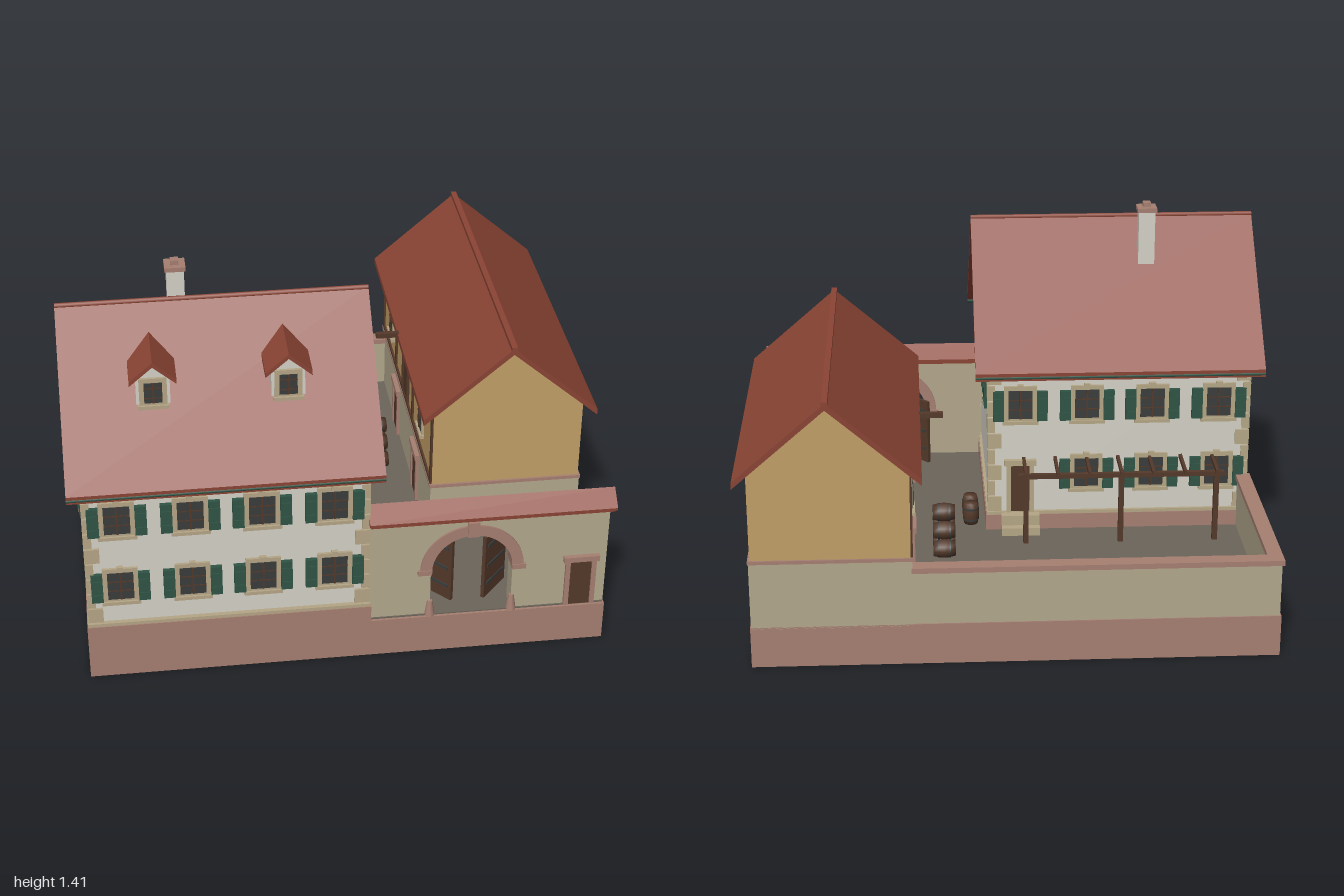
import * as THREE from 'three';

const mat = (name, color) => Object.assign(new THREE.MeshStandardMaterial({ color }), { name });
const M = {
  plaster: mat('white plaster', 0xd4d1c7),
  stone: mat('grey beige masonry', 0xb3a88d),
  sand: mat('red sandstone', 0xa67f72),
  ochre: mat('ochre plaster', 0xc29f67),
  roof: mat('roof tile', 0x8a4434),
  paving: mat('courtyard paving', 0x6c655b),
  wood: mat('brown timber', 0x54392a),
  dark: mat('dark glass and iron', 0x3a3d3b),
  green: mat('shutter green', 0x2f5445),
  trim: mat('pale stone trim', 0xb5a686),
};

function add(parent, name, geo, m, x = 0, y = 0, z = 0) {
  const mesh = new THREE.Mesh(geo, m);
  mesh.name = name;
  mesh.position.set(x, y, z);
  parent.add(mesh);
  return mesh;
}
// box given by its minimum and maximum corners
function box(p, name, m, x0, x1, y0, y1, z0, z1) {
  return add(p, name, new THREE.BoxGeometry(x1 - x0, y1 - y0, z1 - z0), m, (x0 + x1) / 2, (y0 + y1) / 2, (z0 + z1) / 2);
}
function group(parent, name, x = 0, y = 0, z = 0, ry = 0) {
  const g = new THREE.Group();
  g.name = name;
  g.position.set(x, y, z);
  g.rotation.y = ry;
  parent.add(g);
  return g;
}
// polygon extruded along z (points are x, y) or along x (points are z, y)
function prism(p, name, m, axis, pts, from, to) {
  const s = axis === 'x' ? -1 : 1;
  const shape = new THREE.Shape(pts.map(([u, v]) => new THREE.Vector2(u * s, v)));
  const geo = new THREE.ExtrudeGeometry(shape, { depth: to - from, bevelEnabled: false });
  geo.translate(0, 0, from);
  if (axis === 'x') geo.rotateY(Math.PI / 2);
  return add(p, name, geo, m);
}
// outline of a pitched roof skin: centre, half width, ridge height, eave height, thickness
const chevron = (c, h, r, e, t) => [[c - h, e], [c, r], [c + h, e], [c + h, e - t], [c, r - t], [c - h, e - t]];

// window facing +z, centred on its frame
function windowUnit(parent, x, y, z, ry, w = 0.128, h = 0.15, shutters = true) {
  const g = group(parent, 'window', x, y, z, ry), a = w / 2, b = h / 2;
  box(g, 'frame', M.trim, -a, a, -b, b, -0.01, 0.01);
  box(g, 'pane', M.dark, -a + 0.017, a - 0.017, -b + 0.017, b - 0.017, 0.004, 0.012);
  box(g, 'mullion', M.wood, -0.003, 0.003, -b + 0.017, b - 0.017, 0.008, 0.015);
  for (const t of [-0.02, 0.02]) box(g, 'glazingBar', M.wood, -a + 0.017, a - 0.017, t - 0.002, t + 0.002, 0.008, 0.014);
  box(g, 'sill', M.trim, -a - 0.006, a + 0.006, -b - 0.006, -b + 0.008, -0.01, 0.018);
  if (!shutters) return;
  box(g, 'keystone', M.trim, -0.012, 0.012, b - 0.01, b + 0.008, -0.01, 0.014);
  for (const s of [-1, 1]) {
    const c = s * (a + 0.021);
    box(g, 'shutter', M.green, c - 0.021, c + 0.021, -b + 0.008, b - 0.02, 0, 0.016);
    for (const t of [-0.035, 0.025]) box(g, 'shutterRail', M.green, c - 0.018, c + 0.018, t - 0.004, t + 0.004, 0.01, 0.02);
  }
}
// door facing +z, standing on its origin
function door(parent, x, y, z, ry, w, h, frame) {
  const g = group(parent, 'door', x, y, z, ry), a = w / 2;
  for (const s of [-1, 1]) box(g, 'jamb', frame, s * a - 0.009, s * a + 0.009, 0, h, -0.01, 0.012);
  box(g, 'lintel', frame, -a - 0.018, a + 0.018, h, h + 0.022, -0.01, 0.018);
  box(g, 'leaf', M.wood, -a, a, 0, h, -0.01, 0.006);
}
function barrel(parent, x, y, z, r, len, lying) {
  const g = group(parent, 'barrel', x, y, z);
  if (lying) g.rotation.z = Math.PI / 2;
  const prof = [[0, -0.5], [0.8, -0.5], [0.96, -0.2], [1, 0], [0.96, 0.2], [0.8, 0.5], [0, 0.5]];
  add(g, 'staves', new THREE.LatheGeometry(prof.map(([u, v]) => new THREE.Vector2(u * r, v * len)), 12), M.wood);
  for (const t of [-0.25, 0.25]) add(g, 'hoop', new THREE.CylinderGeometry(r * 0.97, r * 0.97, len * 0.08, 12), M.dark, 0, t * len, 0);
}

function buildHouse(root) {
  const g = group(root, 'house');
  box(g, 'plinth', M.sand, -0.96, 0.08, 0.15, 0.225, -0.055, 0.84);
  box(g, 'plinthBand', M.trim, -0.957, 0.077, 0.225, 0.238, -0.052, 0.837);
  prism(g, 'walls', M.plaster, 'x', [[-0.04, 0.22], [-0.04, 0.865], [0.39, 1.295], [0.82, 0.865], [0.82, 0.22]], -0.945, 0.065);
  prism(g, 'roof', M.roof, 'x', chevron(0.39, 0.49, 1.325, 0.835, 0.03), -1, 0.12);
  box(g, 'cornice', M.trim, -0.952, 0.072, 0.842, 0.856, -0.047, 0.827);
  for (const z of [-0.1, 0.88]) {
    const gutter = add(g, 'gutter', new THREE.CylinderGeometry(0.01, 0.01, 1.12, 8), M.green, -0.44, 0.817, z - Math.sign(z) * 0.008);
    gutter.rotation.z = Math.PI / 2;
  }
  const ridge = add(g, 'ridgeTiles', new THREE.CylinderGeometry(0.01, 0.01, 1.12, 8), M.roof, -0.44, 1.32, 0.39);
  ridge.rotation.z = Math.PI / 2;
  // corner stones, alternating long and short
  for (const [x, sx] of [[-0.945, 1], [0.065, -1]]) for (const [z, sz] of [[-0.04, 1], [0.82, -1]])
    for (let i = 0; i < 9; i++) {
      const [lx, lz] = i % 2 ? [0.03, 0.055] : [0.055, 0.03];
      add(g, 'quoin', new THREE.BoxGeometry(lx, 0.06, lz), M.trim, x + sx * (lx / 2 - 0.009), 0.27 + i * 0.0665, z + sz * (lz / 2 - 0.009));
    }
  // window rows front and back, back door on the yard side
  [-0.83, -0.57, -0.315, -0.055].forEach((x, i) => {
    for (const y of [0.4, 0.688]) {
      windowUnit(g, x, y, 0.82, 0);
      if (y > 0.5 || i < 3) windowUnit(g, x, y, -0.04, Math.PI);
    }
  });
  door(g, -0.055, 0.235, -0.042, Math.PI, 0.09, 0.2, M.trim);
  box(g, 'doorStep', M.trim, -0.13, 0.02, 0.15, 0.235, -0.09, -0.04);
  box(g, 'doorStep', M.trim, -0.13, 0.02, 0.15, 0.195, -0.12, -0.04);
  // gable windows
  for (const [x, s] of [[0.065, 1], [-0.945, -1]]) {
    for (const z of [0.19, 0.588]) windowUnit(g, x, 0.69, z, s * Math.PI / 2, 0.12);
    windowUnit(g, x, 1.025, 0.39, s * Math.PI / 2, 0.105, 0.115, false);
  }
  for (const x of [-0.675, -0.2]) {
    const d = group(g, 'dormer', x);
    prism(d, 'dormerWalls', M.plaster, 'z', [[-0.06, 1.03], [0.06, 1.03], [0.06, 1.165], [0, 1.218], [-0.06, 1.165]], 0.46, 0.66);
    prism(d, 'dormerRoof', M.roof, 'z', chevron(0, 0.083, 1.24, 1.168, 0.018), 0.46, 0.69);
    windowUnit(d, 0, 1.107, 0.66, 0, 0.098, 0.115, false);
  }
  box(g, 'chimney', M.plaster, -0.597, -0.533, 1.1, 1.375, 0.23, 0.29);
  box(g, 'chimneyCap', M.sand, -0.603, -0.527, 1.375, 1.392, 0.223, 0.297);
  box(g, 'chimneyPot', M.sand, -0.58, -0.55, 1.392, 1.41, 0.245, 0.275);
}

function buildBarn(root) {
  const g = group(root, 'barn');
  box(g, 'lowerWalls', M.stone, 0.375, 0.957, 0.15, 0.41, -0.85, 0.37);
  box(g, 'stringCourse', M.sand, 0.37, 0.96, 0.408, 0.421, -0.853, 0.375);
  prism(g, 'upperWalls', M.ochre, 'z', [[0.38, 0.42], [0.952, 0.42], [0.952, 0.75], [0.666, 0.995], [0.38, 0.75]], -0.846, 0.366);
  prism(g, 'barnRoof', M.roof, 'z', chevron(0.668, 0.332, 1.025, 0.737, 0.025), -0.88, 0.4);
  box(g, 'barnRidge', M.roof, 0.657, 0.679, 1.01, 1.032, -0.885, 0.403);
  // yard side
  const west = -Math.PI / 2;
  for (const z of [-0.44, 0.04]) door(g, 0.375, 0.16, z, west, 0.11, 0.2, M.sand);
  door(g, 0.38, 0.44, -0.25, west, 0.11, 0.18, M.wood);
  for (const z of [-0.62, 0.12]) windowUnit(g, 0.38, 0.57, z, west, 0.1, 0.12, false);
  for (const z of [-0.835, -0.5, -0.08, 0.355]) box(g, 'timberPost', M.wood, 0.372, 0.384, 0.42, 0.74, z - 0.01, z + 0.01);
  box(g, 'timberRail', M.wood, 0.372, 0.384, 0.42, 0.437, -0.845, 0.365);
  box(g, 'hoistBeam', M.wood, 0.25, 0.42, 0.722, 0.742, -0.26, -0.24);
}

function buildGateWall(root) {
  const g = group(root, 'gateWall'), cx = 0.453, r = 0.152, sy = 0.36;
  const shape = new THREE.Shape();
  shape.moveTo(0.07, 0.16).lineTo(cx - r, 0.16).lineTo(cx - r, sy);
  shape.absarc(cx, sy, r, Math.PI, 0, true);
  shape.lineTo(cx + r, 0.16).lineTo(0.957, 0.16).lineTo(0.957, 0.59).lineTo(0.07, 0.59);
  add(g, 'wall', new THREE.ExtrudeGeometry(shape, { depth: 0.07, bevelEnabled: false, curveSegments: 20 }), M.stone, 0, 0, 0.755);
  const ring = new THREE.Shape();
  ring.absarc(cx, sy, 0.192, 0, Math.PI, false);
  ring.absarc(cx, sy, r - 0.003, Math.PI, 0, true);
  add(g, 'archRing', new THREE.ExtrudeGeometry(ring, { depth: 0.086, bevelEnabled: false, curveSegments: 20 }), M.sand, 0, 0, 0.747);
  box(g, 'archKeystone', M.sand, cx - 0.022, cx + 0.022, 0.505, 0.568, 0.742, 0.838);
  for (const s of [-1, 1]) {
    const x = cx + s * 0.175;
    box(g, 'impost', M.sand, x - 0.026, x + 0.026, 0.345, 0.366, 0.744, 0.836);
    add(g, 'guardStone', new THREE.CylinderGeometry(0.01, 0.02, 0.065, 8), M.sand, cx + s * 0.153, 0.19, 0.825);
    // gate leaves swung into the yard
    const leaf = group(g, 'gateLeaf', cx + s * 0.108, 0.165, 0.702, s * 0.84);
    box(leaf, 'planks', M.wood, -0.075, 0.075, 0, 0.275, -0.007, 0.007);
    for (const y of [0.06, 0.14, 0.23]) box(leaf, 'hingeStrap', M.dark, -0.06, 0.06, y - 0.006, y + 0.006, -0.011, 0.011);
  }
  door(g, 0.862, 0.16, 0.825, 0, 0.098, 0.2, M.sand);
  door(g, 0.862, 0.16, 0.755, Math.PI, 0.098, 0.2, M.sand);
  box(g, 'copingBand', M.roof, 0.075, 0.97, 0.578, 0.592, 0.738, 0.842);
  prism(g, 'wallRoof', M.roof, 'x', [[0.728, 0.59], [0.728, 0.6], [0.79, 0.652], [0.852, 0.6], [0.852, 0.59]], 0.07, 0.977);
}

function buildYard(root) {
  const g = group(root, 'courtyard');
  box(g, 'base', M.sand, -0.96, 0.96, 0, 0.158, -0.85, 0.84);
  box(g, 'paving', M.paving, -0.95, 0.955, 0.155, 0.163, -0.84, 0.83);
  // low boundary walls with coping
  box(g, 'backWall', M.stone, -0.955, 0.38, 0.158, 0.36, -0.845, -0.805);
  box(g, 'backCoping', M.sand, -0.963, 0.378, 0.36, 0.38, -0.853, -0.797);
  box(g, 'sideWall', M.stone, -0.955, -0.915, 0.158, 0.36, -0.845, -0.04);
  box(g, 'sideCoping', M.sand, -0.963, -0.907, 0.36, 0.38, -0.853, -0.045);
  // pergola against the house
  const p = group(g, 'pergola');
  box(p, 'longBeam', M.wood, -0.84, -0.04, 0.435, 0.453, -0.194, -0.176);
  for (const x of [-0.81, -0.44, -0.07]) box(p, 'post', M.wood, x - 0.01, x + 0.01, 0.16, 0.44, -0.195, -0.175);
  for (let i = 0; i < 7; i++) {
    const x = -0.81 + i * 0.1235;
    box(p, 'crossBeam', M.wood, x - 0.006, x + 0.006, 0.45, 0.466, -0.21, -0.03);
  }
  // water trough with spout post
  box(g, 'trough', M.sand, -0.58, -0.41, 0.16, 0.23, -0.74, -0.665);
  box(g, 'troughPost', M.trim, -0.425, -0.405, 0.16, 0.31, -0.715, -0.69);
  box(g, 'spout', M.dark, -0.45, -0.42, 0.28, 0.288, -0.706, -0.698);
  // barrel pyramid and two standing barrels
  for (let row = 0; row < 3; row++) for (let i = 0; i < 3 - row; i++)
    barrel(g, 0.25, 0.197 + row * 0.061, -0.295 + i * 0.07 + row * 0.035, 0.036, 0.085, true);
  for (const z of [0.018, 0.097]) barrel(g, 0.138, 0.205, z, 0.033, 0.09, false);
}

export function createModel() {
  const root = new THREE.Group();
  root.name = 'farmstead';
  buildYard(root);
  buildHouse(root);
  buildBarn(root);
  buildGateWall(root);
  return root;
}
